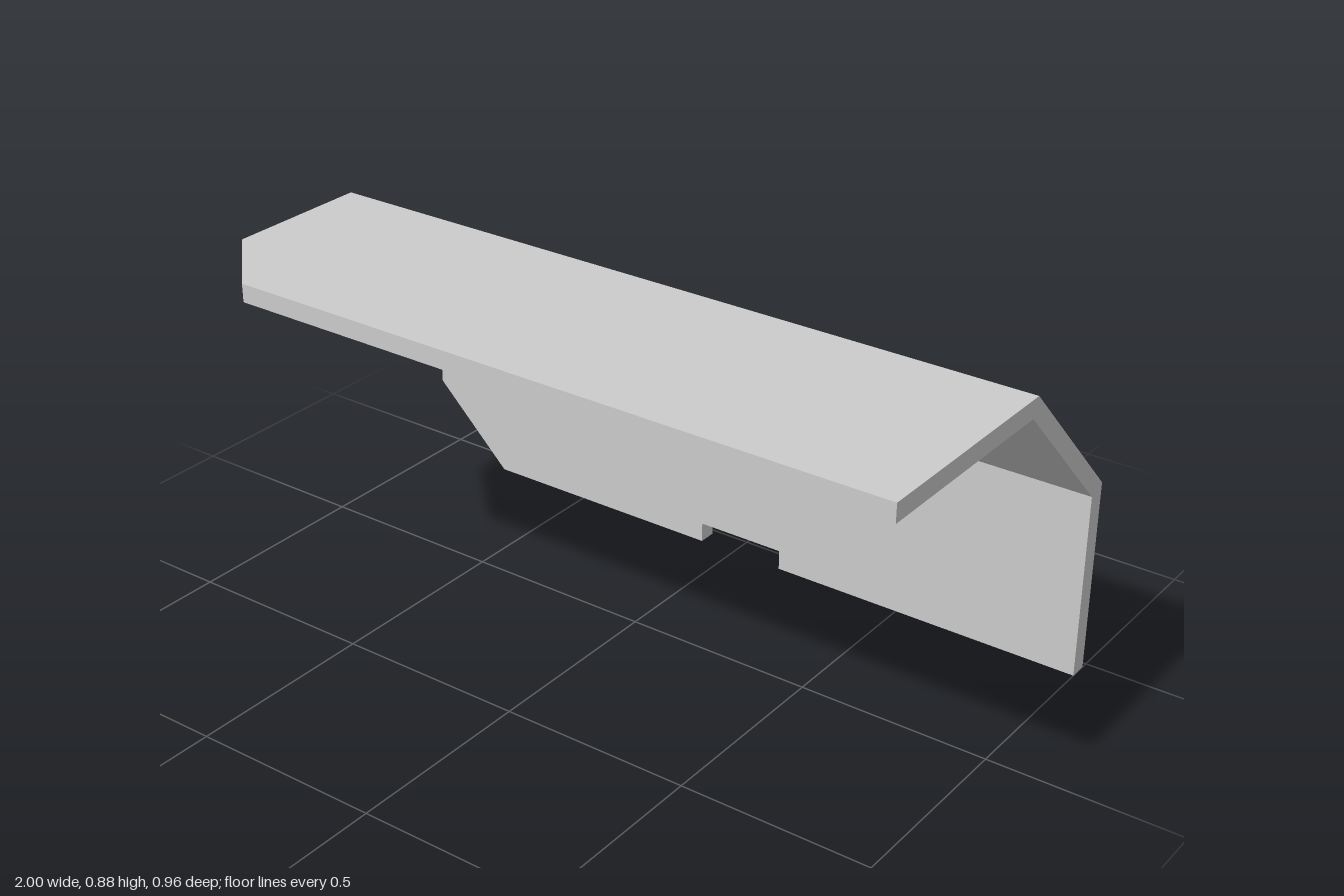
import * as THREE from 'three';

const T = 0.048; // sheet thickness
const Z = 0.482; // half depth
const H = 0.885; // overall height

function extrude(points, depth) {
  const shape = new THREE.Shape(points.map(([x, y]) => new THREE.Vector2(x, y)));
  return new THREE.ExtrudeGeometry(shape, { depth, bevelEnabled: false });
}

// Slides the inner edge of a bend so that neighbouring panels meet in a mitre
function mitre(geometry, isInnerEdge, axis, value) {
  const pos = geometry.attributes.position;
  const v = new THREE.Vector3();
  for (let i = 0; i < pos.count; i++) {
    v.fromBufferAttribute(pos, i);
    if (isInnerEdge(v)) {
      v[axis] = value;
      pos.setXYZ(i, v.x, v.y, v.z);
    }
  }
  geometry.computeVertexNormals();
  return geometry;
}

export function createModel() {
  const group = new THREE.Group();
  group.name = 'bentPanel';
  const material = new THREE.MeshStandardMaterial({ color: 0xcccccc, flatShading: true });
  const add = (name, geometry) => {
    const mesh = new THREE.Mesh(geometry, material);
    mesh.name = name;
    group.add(mesh);
  };

  // Bend lines, as (z, y)
  const lowOuter = [-Z, 0.512], lowInner = [-Z + T, 0.494];
  const highOuter = [-0.109, H], highInner = [-0.09, H - T];

  // Upright back panel with a clipped corner and a notch in its lower edge
  const back = extrude([
    [-1, 0.215], [-0.782, 0], [-0.1, 0], [-0.1, 0.053], [0.145, 0.053],
    [0.145, 0], [1, 0], [1, lowOuter[1]], [-1, lowOuter[1]],
  ], T).translate(0, 0, -Z);
  add('backPanel', mitre(back, (v) => v.y > 0.4 && v.z > -Z + T / 2, 'y', lowInner[1]));

  // Sloping panel between the two bends
  const slope = extrude([lowOuter, lowInner, highInner, highOuter], 2)
    .rotateY(-Math.PI / 2).translate(1, 0, 0);
  add('slopingPanel', slope);

  // Flat top panel with a clipped front corner
  const top = extrude([
    [-1, highOuter[0]], [1, highOuter[0]], [1, Z], [-0.805, Z], [-1, 0.287],
  ], T).rotateX(Math.PI / 2).translate(0, H, 0);
  add('topPanel', mitre(top, (v) => v.z < 0 && v.y < H - T / 2, 'z', highInner[0]));

  return group;
}
